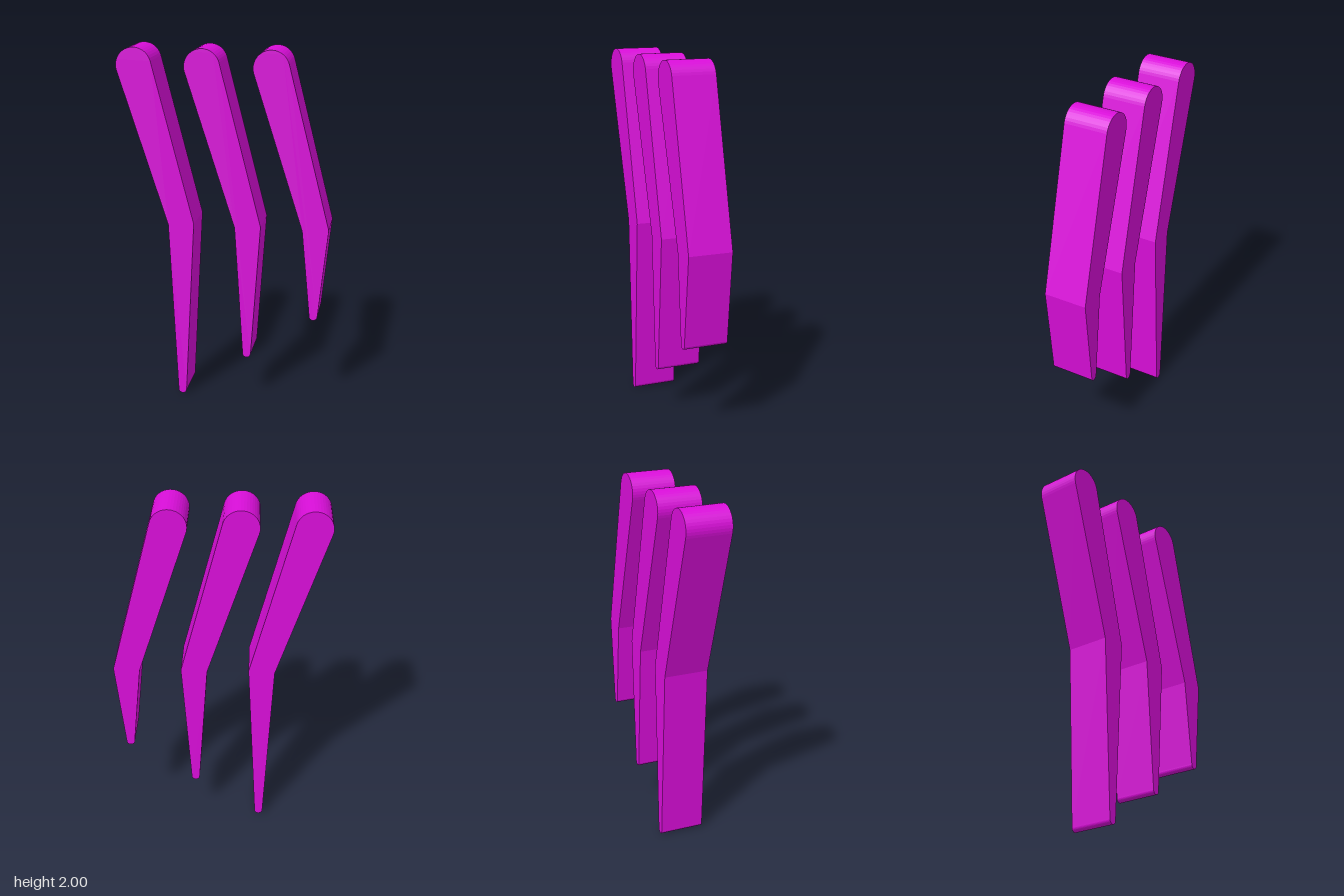
import * as THREE from 'three';

const DEPTH = 0.25;

// Bent, tapering claw outline: round top, elbow, small rounded tip
function clawShape(tipY) {
  const rad = THREE.MathUtils.degToRad;
  const s = new THREE.Shape();
  s.moveTo(-0.31, 1.02);
  s.lineTo(-0.262, tipY + 0.026);
  s.absarc(-0.239, tipY + 0.023, 0.023, rad(177), rad(363), false);
  s.lineTo(-0.165, 1.03);
  s.absarc(-0.49, 1.902, 0.098, rad(14.5), rad(198), false);
  s.closePath();
  return s;
}

export function createModel() {
  const magenta = new THREE.MeshStandardMaterial({ color: 0xd90ed9 });
  magenta.name = 'magenta';

  const group = new THREE.Group();
  group.name = 'clawMarks';

  // Three evenly spaced claws, each one shorter than the last
  [0, 0.253, 0.503].forEach((tipY, i) => {
    const geometry = new THREE.ExtrudeGeometry(clawShape(tipY), {
      depth: DEPTH, bevelEnabled: false, curveSegments: 10,
    });
    geometry.translate(i * 0.375, 0, -DEPTH / 2);
    const claw = new THREE.Mesh(geometry, magenta);
    claw.name = ['longClaw', 'middleClaw', 'shortClaw'][i];
    group.add(claw);
  });
  return group;
}
